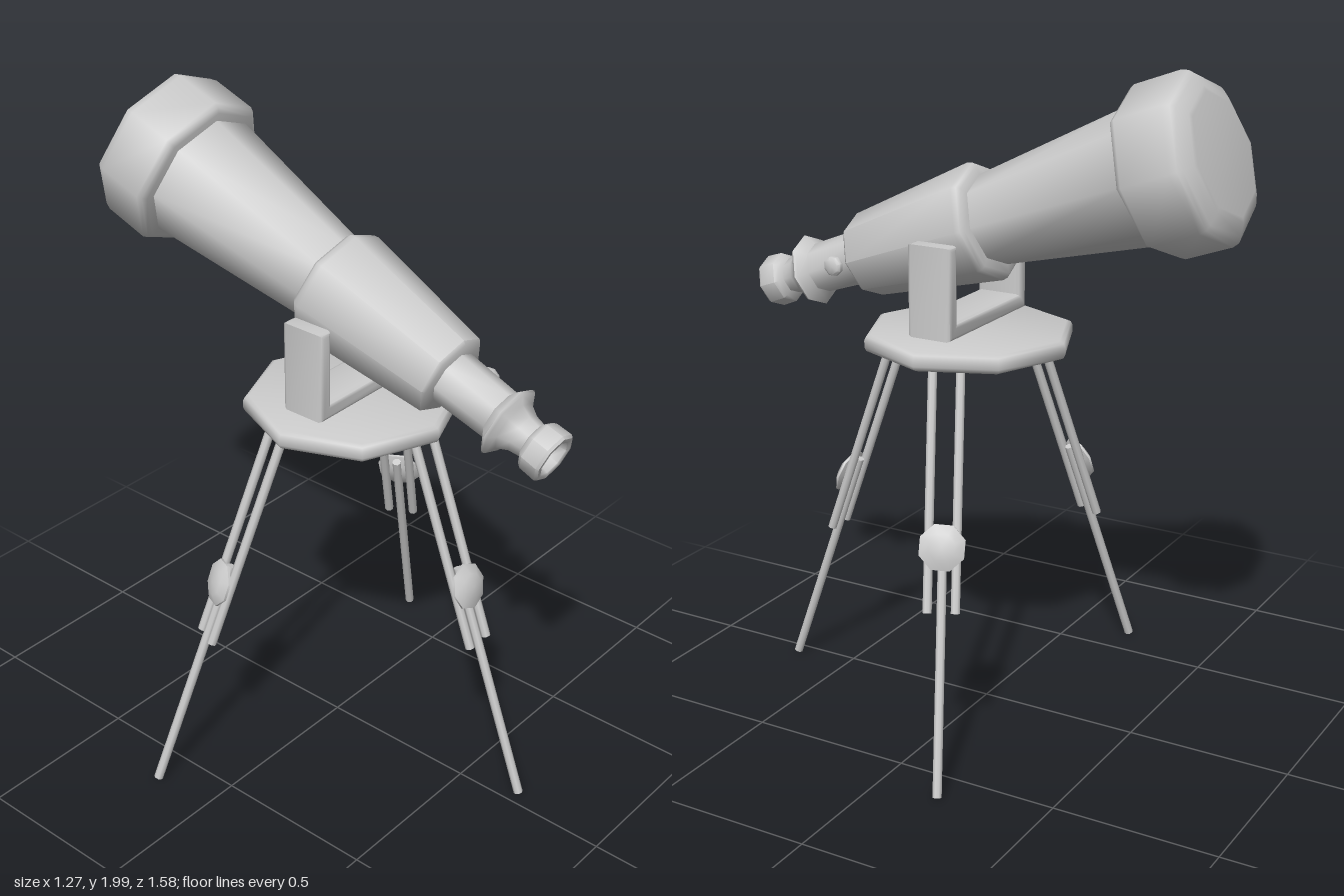
import * as THREE from 'three';
import { toCreasedNormals } from 'three/addons/utils/BufferGeometryUtils.js';

const material = new THREE.MeshStandardMaterial({ color: 0xcccccc });
const V = (x, y, z) => new THREE.Vector3(x, y, z);
const UP = V(0, 1, 0);

function mesh(name, geometry) {
  const m = new THREE.Mesh(geometry, material);
  m.name = name;
  return m;
}

// Eight-sided turned part from [radius, height] pairs, soft around, crisp at the rims
function turned(name, profile) {
  const points = profile.map(([r, h]) => new THREE.Vector2(r, h));
  return mesh(name, toCreasedNormals(new THREE.LatheGeometry(points, 8), 0.9));
}

function rod(name, a, b, r) {
  const dir = b.clone().sub(a);
  const m = mesh(name, new THREE.CylinderGeometry(r, r, dir.length(), 8));
  m.position.copy(a).add(b).multiplyScalar(0.5);
  m.quaternion.setFromUnitVectors(UP, dir.normalize());
  return m;
}

// Telescoping leg: two upper rods, one sliding lower rod and a clamp knob
function leg(name, top, foot) {
  const g = new THREE.Group();
  g.name = name;
  const at = (y) => top.clone().lerp(foot, (top.y - y) / (top.y - foot.y));
  const along = foot.clone().sub(top).normalize();
  const side = V(along.x, 0, along.z).normalize().cross(UP);
  const outward = along.clone().cross(side).normalize();
  if (outward.y < 0) outward.negate();

  for (const s of [-0.04, 0.04]) {
    const shift = side.clone().multiplyScalar(s);
    g.add(rod('upperRod', top.clone().add(shift), at(0.49).add(shift), 0.014));
  }
  g.add(rod('lowerRod', at(0.72), foot, 0.014));

  const knob = turned('clampKnob', [
    [0, -0.022], [0.035, -0.018], [0.07, -0.003], [0.07, 0.004], [0.04, 0.019], [0, 0.024],
  ]);
  knob.position.copy(at(0.665)).addScaledVector(outward, 0.02);
  knob.quaternion.setFromUnitVectors(UP, outward);
  g.add(knob);
  return g;
}

// Optical tube, modelled along y from the eyepiece and then tilted
function telescope() {
  const g = new THREE.Group();
  g.name = 'telescope';
  g.add(turned('eyepiece', [
    [0, 0.035], [0.048, 0.03], [0.056, 0.003], [0.062, 0], [0.074, 0], [0.08, 0.008],
    [0.078, 0.06], [0.07, 0.072], [0.054, 0.08], [0.06, 0.115], [0.078, 0.148],
    [0.105, 0.16], [0.11, 0.168], [0.105, 0.176], [0.076, 0.196], [0.083, 0.4],
  ]));
  g.add(turned('middleTube', [
    [0, 0.372], [0.118, 0.372], [0.128, 0.382], [0.177, 0.808], [0.173, 0.825],
    [0.162, 0.835], [0.12, 0.84], [0, 0.84],
  ]));
  g.add(turned('mainTube', [[0.133, 0.82], [0.203, 1.4]]));
  g.add(turned('objectiveHood', [
    [0, 1.368], [0.225, 1.368], [0.24, 1.376], [0.247, 1.39], [0.247, 1.535],
    [0.24, 1.556], [0.225, 1.566], [0.19, 1.585], [0.175, 1.588], [0, 1.588],
  ]));
  const focus = turned('focusKnob', [
    [0, 0.06], [0.015, 0.06], [0.015, 0.085], [0.03, 0.088], [0.03, 0.102], [0.022, 0.108], [0, 0.108],
  ]);
  focus.rotation.z = -Math.PI / 2;
  focus.position.y = 0.31;
  g.add(focus);
  g.rotation.x = THREE.MathUtils.degToRad(-70);
  g.position.set(0, 1.237, 0.764);
  return g;
}

// U-shaped yoke with rounded edges
function yoke() {
  const b = 0.012;
  const shape = new THREE.Shape([
    [-0.224, 1.207], [0.224, 1.207], [0.224, 1.48], [0.18, 1.48],
    [0.18, 1.255], [-0.18, 1.255], [-0.18, 1.48], [-0.224, 1.48],
  ].map(([x, y]) => new THREE.Vector2(x, y)));
  const geometry = new THREE.ExtrudeGeometry(shape, {
    depth: 0.143 - 2 * b, bevelEnabled: true, bevelSize: b, bevelOffset: -b,
    bevelThickness: b, bevelSegments: 2,
  });
  geometry.translate(0, 0, -0.01 + b);
  return mesh('yoke', toCreasedNormals(geometry, 0.8));
}

export function createModel() {
  const model = new THREE.Group();
  model.name = 'tripodTelescope';

  // Octagonal tripod plate
  const plate = turned('tripodPlate', [
    [0, 1.135], [0.3, 1.135], [0.313, 1.141], [0.318, 1.152], [0.318, 1.173],
    [0.313, 1.184], [0.3, 1.19], [0, 1.19],
  ]);
  plate.position.z = 0.057;
  model.add(plate, yoke(), telescope());

  model.add(leg('frontLeg', V(0.035, 1.137, 0.283), V(0.042, 0.005, 0.688)));
  for (const [name, s] of [['leftRearLeg', 1], ['rightRearLeg', -1]]) {
    model.add(leg(name, V(s * 0.25, 1.137, -0.013), V(s * 0.62, 0.005, -0.195)));
  }
  return model;
}
